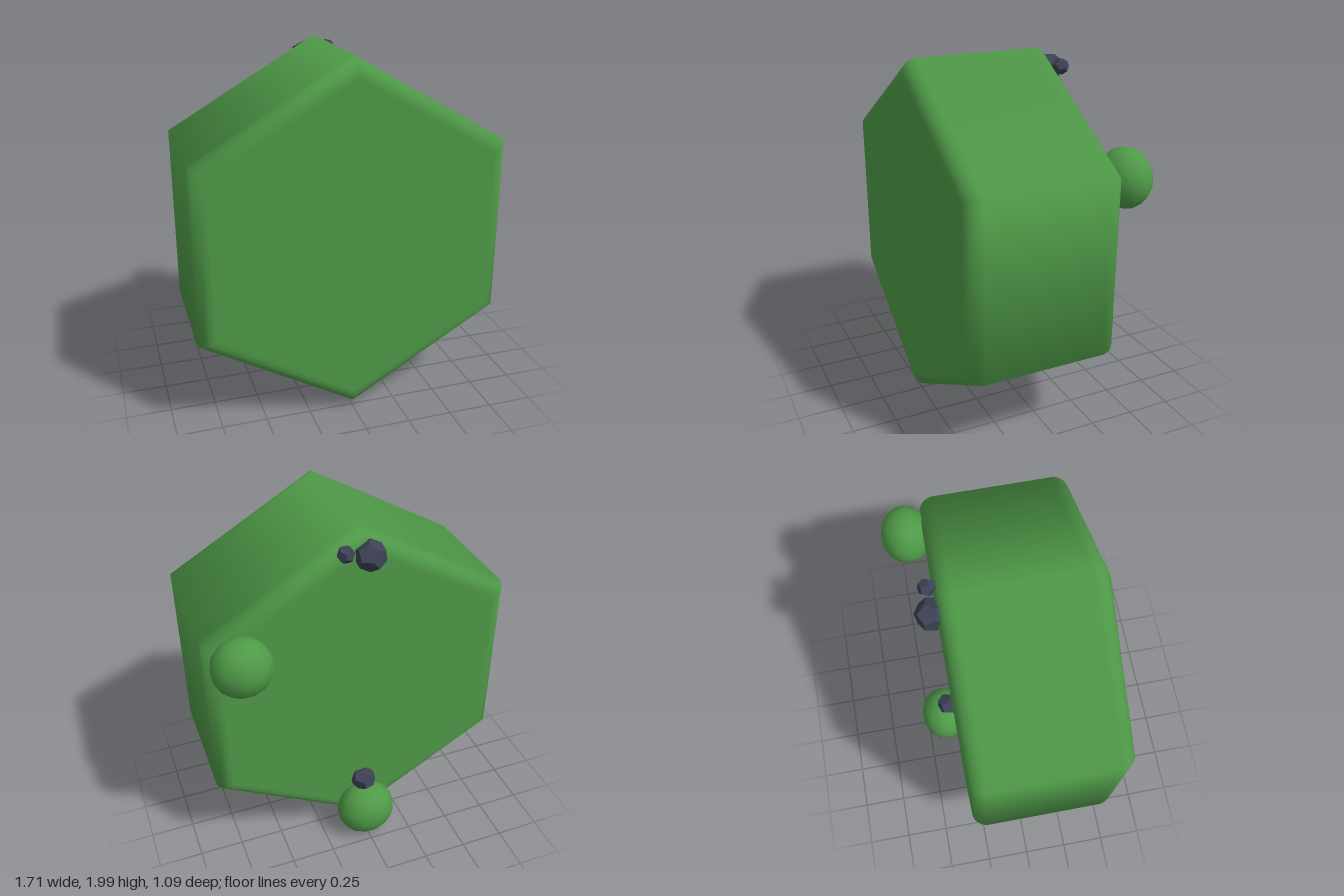
import * as THREE from 'three';
import { mergeVertices } from 'three/addons/utils/BufferGeometryUtils.js';

const green = new THREE.MeshStandardMaterial({ color: 0x4f9a48 });
const slate = new THREE.MeshStandardMaterial({ color: 0x3d4255, flatShading: true });

// Hexagonal tile: a six-sided lathe with rounded rims, its axis along z
function makeTile() {
  const R = 0.9875, back = -0.31, front = 0.55, r = 0.09, steps = 6;
  const profile = [new THREE.Vector2(0, back), new THREE.Vector2(R - r - 0.01, back)];
  for (const [centre, start] of [[back + r, -Math.PI / 2], [front - r, 0]]) {
    for (let i = 0; i <= steps; i++) {
      const a = start + (i / steps) * Math.PI / 2;
      profile.push(new THREE.Vector2(R - r + r * Math.cos(a), centre + r * Math.sin(a)));
    }
  }
  profile.push(new THREE.Vector2(R - r - 0.01, front), new THREE.Vector2(0, front));
  const tile = new THREE.Mesh(new THREE.LatheGeometry(profile, 6), green);
  tile.rotation.x = Math.PI / 2;
  tile.position.y = 1.0125;
  tile.name = 'hexTile';
  return tile;
}

// Rounded, slightly lumpy bush with smooth normals
function makeBush(name, position, size, phase) {
  let geo = new THREE.IcosahedronGeometry(1, 2);
  geo.deleteAttribute('normal');
  geo.deleteAttribute('uv');
  geo = mergeVertices(geo);
  const p = geo.attributes.position, v = new THREE.Vector3();
  for (let i = 0; i < p.count; i++) {
    v.fromBufferAttribute(p, i);
    v.multiplyScalar(1 + 0.015 * Math.sin(5 * v.x + phase) * Math.cos(4 * v.y + 3 * v.z));
    p.setXYZ(i, v.x, v.y, v.z);
  }
  geo.scale(...size);
  geo.computeVertexNormals();
  const bush = new THREE.Mesh(geo, green);
  bush.position.set(...position);
  bush.name = name;
  return bush;
}

// Faceted rock
function makeRock(name, position, size, turn) {
  const geo = new THREE.DodecahedronGeometry(1, 0);
  geo.rotateZ(turn).rotateX(turn * 0.7);
  geo.scale(...size);
  const rock = new THREE.Mesh(geo, slate);
  rock.position.set(...position);
  rock.name = name;
  return rock;
}

export function createModel() {
  const model = new THREE.Group();
  model.name = 'hexTileWithBushes';
  model.add(
    makeTile(),
    makeBush('upperBush', [0.685, 1.43, -0.405], [0.161, 0.163, 0.14], 0.4),
    makeBush('lowerBush', [-0.005, 0.167, -0.382], [0.174, 0.165, 0.145], 2),
    makeRock('largeRock', [-0.02, 1.88, -0.335], [0.085, 0.083, 0.085], 0.5),
    makeRock('smallRock', [0.11, 1.91, -0.335], [0.047, 0.047, 0.048], 1.1),
    makeRock('lowerRock', [-0.005, 0.365, -0.335], [0.075, 0.066, 0.08], 0.9),
  );
  return model;
}
